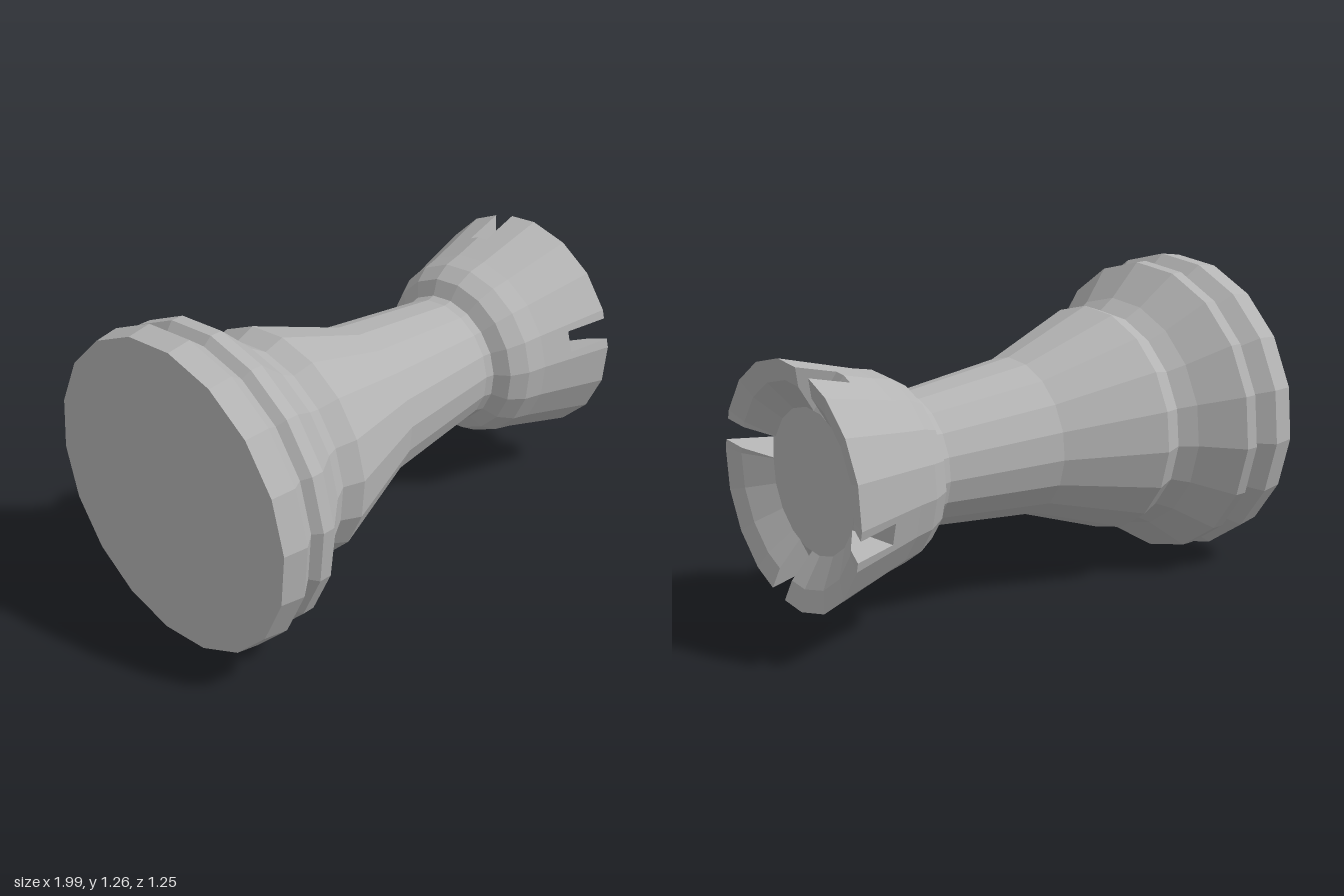
import * as THREE from 'three';

const SIDES = 18;
const STEP = (Math.PI * 2) / SIDES;
const START = THREE.MathUtils.degToRad(4.6 - 90); // angle of the first polygon corner
const SLOT_HALF = 0.045;

// Outer silhouette as [radius, height] from the foot up to the floor of the cup
const PROFILE = [
  [0, -0.985], [0.615, -0.985], [0.63, -0.89], [0.578, -0.825], [0.61, -0.795],
  [0.61, -0.745], [0.48, -0.6], [0.437, -0.53], [0.467, -0.45], [0.318, -0.04],
  [0.262, 0.46], [0.27, 0.495], [0.33, 0.53], [0.37, 0.6], [0.387, 0.68],
  [0.423, 0.81], [0.28, 0.89], [0, 0.89],
];

// Section through the battlement wall: outer foot, rim, inner lip, inner foot
const WALL = [[0.423, 0.81], [0.472, 0.987], [0.39, 0.965], [0.28, 0.89]];

// Separate the faces so that each is shaded flat
function faceted(geometry) {
  const flat = geometry.index ? geometry.toNonIndexed() : geometry;
  flat.computeVertexNormals();
  return flat;
}

// Point on the 18-sided ring at any angle
function ringPoint(r, y, angle) {
  const offset = THREE.MathUtils.euclideanModulo(angle - START, STEP) - STEP / 2;
  const d = (r * Math.cos(STEP / 2)) / Math.cos(offset);
  return new THREE.Vector3(d * Math.sin(angle), y, d * Math.cos(angle));
}

// One battlement, lofted between two neighbouring slots
function battlementGeometry(from, to) {
  const edge = (r) => Math.asin(SLOT_HALF / r);
  const columns = [WALL.map(([r, y]) => ringPoint(r, y, from + edge(r)))];
  const margin = edge(0.28);
  for (let k = -SIDES; k < SIDES * 2; k++) {
    const angle = START + k * STEP;
    if (angle > from + margin && angle < to - margin) {
      columns.push(WALL.map(([r, y]) => ringPoint(r, y, angle)));
    }
  }
  columns.push(WALL.map(([r, y]) => ringPoint(r, y, to - edge(r))));

  const points = [];
  const quad = (a, b, c, d) => points.push(a, b, d, c, d, b);
  for (let i = 0; i < columns.length - 1; i++) {
    const p = columns[i], q = columns[i + 1];
    for (let j = 0; j < WALL.length - 1; j++) quad(p[j], q[j], q[j + 1], p[j + 1]);
  }
  // Slot side walls
  quad(...columns[0]);
  quad(...columns[columns.length - 1].slice().reverse());
  return faceted(new THREE.BufferGeometry().setFromPoints(points));
}

export function createModel() {
  const model = new THREE.Group();
  model.name = 'chessRook';
  const stone = new THREE.MeshStandardMaterial({ color: 0xb4b4b4 });
  stone.name = 'greyStone';

  const rook = new THREE.Group();
  rook.name = 'lyingRook';

  // Foot, stem and cup in one turned piece
  const profile = PROFILE.map(([r, y]) => new THREE.Vector2(r, y));
  const body = new THREE.Mesh(faceted(new THREE.LatheGeometry(profile, SIDES, START)), stone);
  body.name = 'turnedBody';
  rook.add(body);

  // Four battlements with slots between them
  const firstSlot = START - STEP;
  for (let i = 0; i < 4; i++) {
    const from = firstSlot + (i * Math.PI) / 2;
    const wall = new THREE.Mesh(battlementGeometry(from, from + Math.PI / 2), stone);
    wall.name = `battlement${i + 1}`;
    rook.add(wall);
  }

  // Lay the piece on its side, resting on the foot with a slight tilt
  rook.rotation.set(0, -0.006, -Math.PI / 2 - 0.017);
  rook.position.y = 0.617;
  model.add(rook);
  return model;
}
